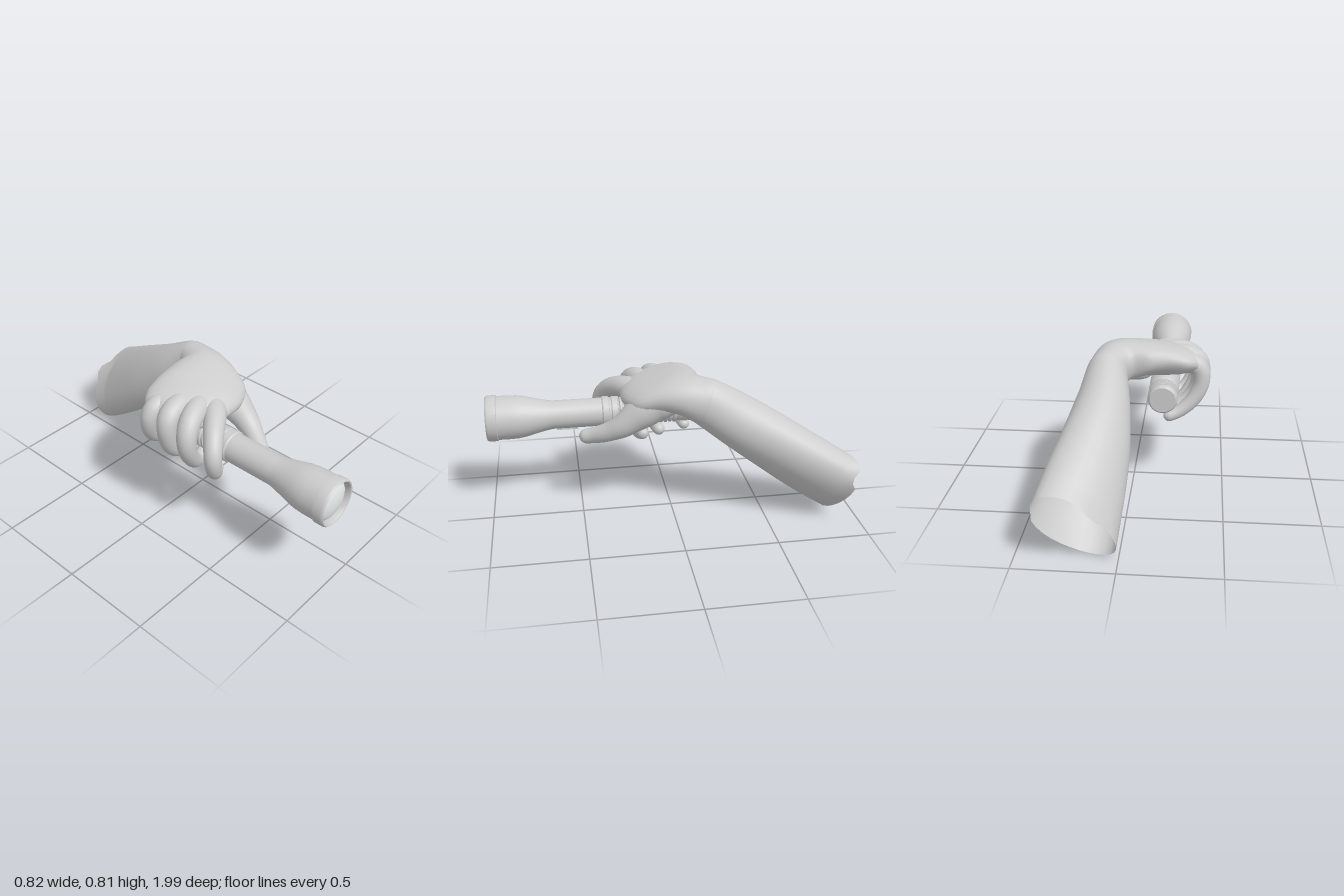
import * as THREE from 'three';
import { toCreasedNormals } from 'three/addons/utils/BufferGeometryUtils.js';

const SIDES = 28;

// Skin closed rings: ring(t) returns { c, u, v }, the centre and two half-axes
function skin(ring, steps, bend) {
  const pos = [], index = [];
  for (let i = 0; i <= steps; i++) {
    const { c, u, v } = ring(i / steps);
    for (let j = 0; j < SIDES; j++) {
      const a = (j / SIDES) * Math.PI * 2;
      const p = c.clone().addScaledVector(u, Math.cos(a)).addScaledVector(v, Math.sin(a));
      if (bend) bend(p, i, j);
      pos.push(p.x, p.y, p.z);
    }
  }
  for (let i = 0; i < steps; i++) {
    for (let j = 0; j < SIDES; j++) {
      const k = (j + 1) % SIDES;
      const a = i * SIDES + j, b = i * SIDES + k;
      index.push(a, b, a + SIDES, b, b + SIDES, a + SIDES);
    }
  }
  const g = new THREE.BufferGeometry();
  g.setAttribute('position', new THREE.Float32BufferAttribute(pos, 3));
  g.setIndex(index);
  g.computeVertexNormals();
  return g;
}

// Loft through stations of [centre, half-width vector, half-height vector]
function loft(stations, steps, bend) {
  const [c, u, v] = [0, 1, 2].map(
    k => new THREE.CatmullRomCurve3(stations.map(s => new THREE.Vector3(...s[k]))));
  return skin(t => ({ c: c.getPoint(t), u: u.getPoint(t), v: v.getPoint(t) }), steps, bend);
}

// Tapered finger along points, with a rounded tip
function finger(points, radii) {
  const steps = 36;
  const curve = new THREE.CatmullRomCurve3(points.map(p => new THREE.Vector3(...p)));
  const frames = curve.computeFrenetFrames(steps);
  const len = curve.getLength();
  const tipR = radii[radii.length - 1];
  return skin(t => {
    // crowd the rings toward the tip
    const s = 1 - Math.pow(1 - t, 1.5);
    const i = Math.min(steps, Math.round(s * steps));
    const f = s * (radii.length - 1), k = Math.min(Math.floor(f), radii.length - 2);
    let r = THREE.MathUtils.lerp(radii[k], radii[k + 1], f - k);
    const left = (1 - s) * len;
    if (left < tipR) r *= Math.sqrt(Math.max(0, 1 - (1 - left / tipR) ** 2));
    return {
      c: curve.getPointAt(s),
      u: frames.normals[i].clone().multiplyScalar(r),
      v: frames.binormals[i].clone().multiplyScalar(r),
    };
  }, steps);
}

export function createModel() {
  const model = new THREE.Group();
  const grey = new THREE.MeshStandardMaterial({ color: 0xcccccc, side: THREE.DoubleSide });
  grey.name = 'grey';
  const glass = new THREE.MeshStandardMaterial({ color: 0xeaeeee });
  glass.name = 'pale glass';
  const add = (parent, name, geometry, material = grey) => {
    const m = new THREE.Mesh(geometry, material);
    m.name = name;
    parent.add(m);
    return m;
  };

  // Forearm: open tube with a ragged cut end
  const hand = new THREE.Group();
  hand.name = 'arm and hand';
  model.add(hand);
  add(hand, 'forearm', loft([
    [[0.205, 0.188, -0.9], [0.19, 0.04, 0], [0.06, 0.18, -0.055]],
    [[0.175, 0.31, -0.71], [0.186, 0.03, 0], [0.04, 0.165, -0.07]],
    [[0.145, 0.44, -0.52], [0.168, 0.015, 0], [0.02, 0.15, -0.07]],
    [[0.13, 0.57, -0.33], [0.138, 0, 0], [0, 0.135, -0.06]],
    [[0.125, 0.675, -0.17], [0.108, 0, 0.01], [0, 0.125, -0.04]],
    [[0.105, 0.70, -0.11], [0.105, 0, 0.04], [0, 0.11, -0.02]],
  ], 24, (p, i, j) => {
    if (i > 0) return;
    p.z -= 0.04 * Math.cos((j / SIDES) * Math.PI * 2) ** 2;
    if (j === 10 || j === 11) p.z -= 0.035;
    if (j === 1 || j === 2) p.z += 0.03;
  }));

  // Palm and back of the hand, sloping down toward the knuckles
  add(hand, 'palm', loft([
    [[0.125, 0.675, -0.17], [0.108, 0, 0.01], [0, 0.125, -0.04]],
    [[0.09, 0.705, -0.09], [0.113, 0, 0.07], [0, 0.11, -0.01]],
    [[0.035, 0.715, -0.04], [0.135, -0.01, 0.125], [0, 0.102, 0]],
    [[-0.05, 0.70, 0.03], [0.165, -0.03, 0.175], [0, 0.1, 0]],
    [[-0.14, 0.69, 0.065], [0.15, -0.025, 0.195], [0, 0.092, 0]],
    [[-0.22, 0.685, 0.085], [0.115, -0.02, 0.185], [0, 0.08, 0]],
    [[-0.29, 0.67, 0.09], [0.07, -0.01, 0.155], [0, 0.065, 0]],
    [[-0.335, 0.65, 0.09], [0.035, 0, 0.11], [0, 0.045, 0]],
    [[-0.35, 0.635, 0.09], [0.001, 0, 0.002], [0, 0.001, 0]],
  ], 40));

  // Fingers wrap over the barrel and curl beneath it
  const fingers = {
    indexFinger: [[-0.08, 0.67, 0.15], [-0.17, 0.675, 0.235], [-0.27, 0.635, 0.315], [-0.325, 0.56, 0.36],
      [-0.31, 0.47, 0.355], [-0.255, 0.405, 0.32], [-0.18, 0.39, 0.27]],
    middleFinger: [[-0.14, 0.69, 0.12], [-0.24, 0.695, 0.16], [-0.32, 0.66, 0.19], [-0.35, 0.58, 0.205],
      [-0.315, 0.475, 0.195], [-0.22, 0.38, 0.16], [-0.115, 0.405, 0.13]],
    ringFinger: [[-0.19, 0.70, 0.055], [-0.28, 0.70, 0.065], [-0.345, 0.67, 0.075], [-0.36, 0.59, 0.08],
      [-0.33, 0.49, 0.075], [-0.25, 0.42, 0.06], [-0.12, 0.41, 0.04]],
    littleFinger: [[-0.19, 0.70, -0.02], [-0.28, 0.70, -0.03], [-0.35, 0.67, -0.035], [-0.365, 0.59, -0.045],
      [-0.325, 0.5, -0.065], [-0.25, 0.435, -0.09], [-0.17, 0.405, -0.115]],
  };
  for (const [name, points] of Object.entries(fingers)) {
    const slim = name === 'littleFinger' ? 0.92 : 1;
    add(hand, name, finger(points, [0.066, 0.062, 0.055, 0.048, 0.043, 0.037, 0.032].map(r => r * slim)));
  }
  add(hand, 'thumb', finger([[0.05, 0.70, -0.03], [0.045, 0.665, 0.08], [0.053, 0.60, 0.185], [0.05, 0.535, 0.275],
    [0.02, 0.49, 0.355], [-0.02, 0.46, 0.43], [-0.045, 0.445, 0.5]],
  [0.09, 0.107, 0.096, 0.073, 0.055, 0.046, 0.037]));

  // Torch, lathed along z
  const torch = new THREE.Group();
  torch.name = 'torch';
  torch.position.set(-0.165, 0.535, 0);
  model.add(torch);
  const lathe = (name, pts) => {
    const g = new THREE.LatheGeometry(pts.map(p => new THREE.Vector2(...p)), 48);
    g.rotateX(Math.PI / 2);
    add(torch, name, toCreasedNormals(g, 0.6));
  };

  // Tail cap with fine grooves
  const cap = [[0, -0.185], [0.068, -0.185], [0.076, -0.178]];
  for (let z = -0.165; z < -0.065; z += 0.018) cap.push([0.079, z], [0.079, z + 0.009], [0.074, z + 0.01], [0.074, z + 0.017]);
  lathe('tailCap', [...cap, [0.07, -0.05]]);

  // Ribbed grip
  const ribs = [[0.07, -0.055]];
  for (let i = 0; i < 13; i++) {
    const z = -0.05 + i * 0.025;
    ribs.push([0.073, z], [0.081, z + 0.005], [0.081, z + 0.016], [0.073, z + 0.021]);
  }
  lathe('grip', [...ribs, [0.073, 0.28]]);

  // Collar, barrel and flared head
  lathe('collar', [[0.073, 0.275], [0.084, 0.28], [0.084, 0.31], [0.079, 0.315], [0.079, 0.325],
    [0.086, 0.33], [0.086, 0.36], [0.08, 0.367]]);
  lathe('barrel', [[0.079, 0.36], [0.079, 0.64], [0.084, 0.67], [0.1, 0.74], [0.113, 0.79],
    [0.119, 0.83], [0.121, 0.87], [0.121, 0.945]]);
  lathe('headRim', [[0.118, 0.938], [0.127, 0.942], [0.127, 0.985], [0.124, 0.995], [0.119, 1.0],
    [0.113, 0.997], [0.108, 0.985], [0.108, 0.95]]);

  // Domed lens
  const dome = new THREE.SphereGeometry(0.11, 40, 12, 0, Math.PI * 2, 0, Math.PI / 2);
  dome.rotateX(Math.PI / 2).scale(1, 1, 0.4);
  add(torch, 'lens', dome, glass).position.z = 0.952;

  // Switch under the barrel
  add(torch, 'switch', new THREE.BoxGeometry(0.04, 0.02, 0.12)).position.set(0, -0.077, 0.56);

  return model;
}
